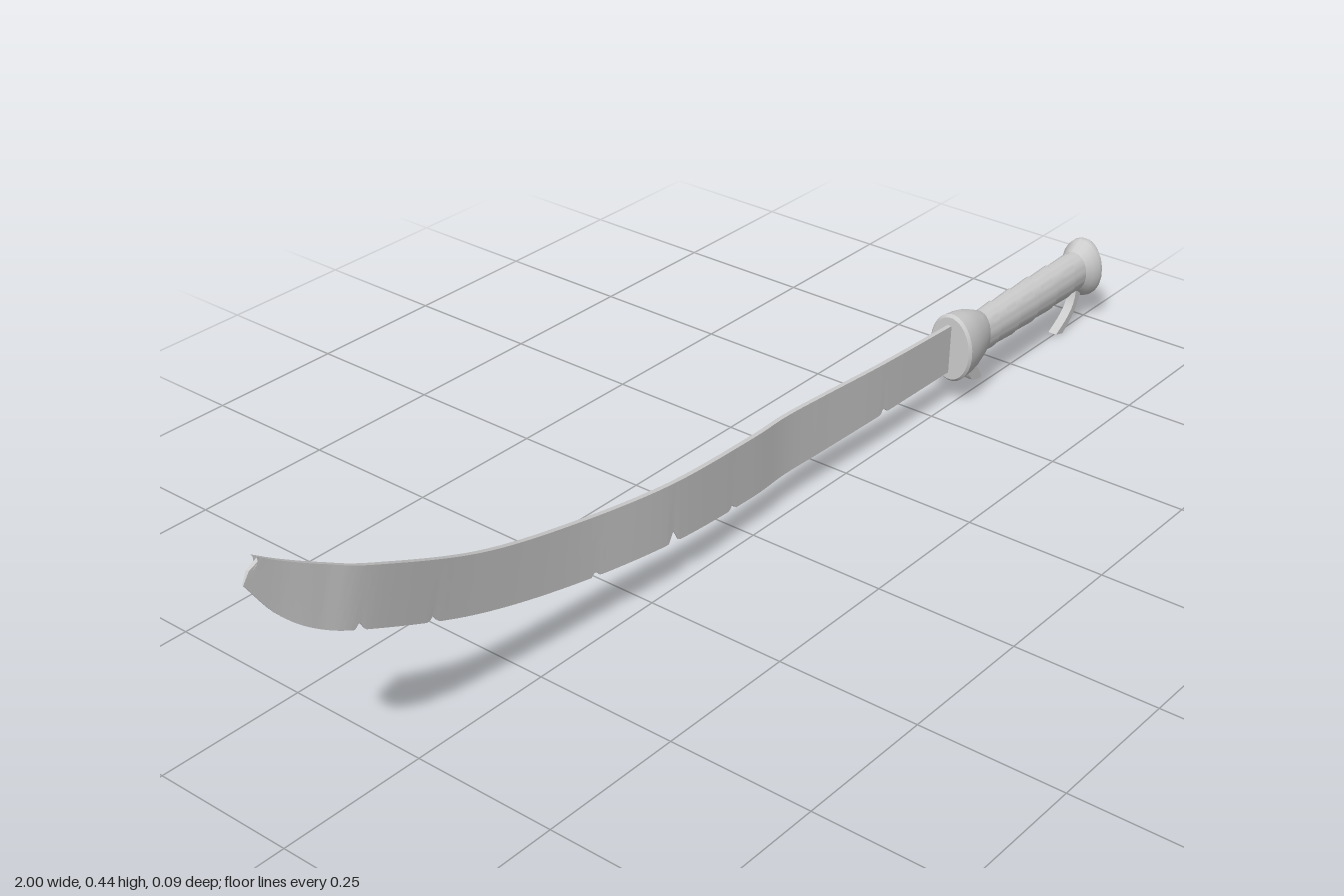
import * as THREE from 'three';
import { toCreasedNormals } from 'three/addons/utils/BufferGeometryUtils.js';

const material = new THREE.MeshStandardMaterial({ color: 0xcccccc, side: THREE.DoubleSide });

// Closed skin over a grid: rows of equal-length point loops, with both ends capped
function loft(rows, crease) {
  const n = rows[0].length, pos = rows.flat(2), index = [];
  for (let i = 0; i < rows.length - 1; i++) {
    for (let j = 0; j < n; j++) {
      const a = i * n + j, b = i * n + (j + 1) % n;
      index.push(a, b, a + n, b, b + n, a + n);
    }
  }
  // caps are zipped between the two halves of the loop
  const last = (rows.length - 1) * n;
  for (let j = 0; j < n / 2 - 1; j++) {
    const a = j, b = j + 1, c = n - 2 - j, d = n - 1 - j;
    index.push(a, c, b, a, d, c);
    index.push(last + a, last + b, last + c, last + a, last + c, last + d);
  }
  const g = new THREE.BufferGeometry();
  g.setAttribute('position', new THREE.Float32BufferAttribute(pos, 3));
  g.setIndex(index);
  return toCreasedNormals(g, crease);
}

function part(name, geometry) {
  const mesh = new THREE.Mesh(geometry, material);
  mesh.name = name;
  return mesh;
}

// Rounded cross-section around the x axis
function ring(x, cy, ry, rz, sides, swell = () => 1) {
  return Array.from({ length: sides }, (_, j) => {
    const a = ((j + 0.5) / sides) * Math.PI * 2, s = swell(a);
    return [x, cy + ry * s * Math.cos(a), rz * s * Math.sin(a)];
  });
}

// Wavy, worn blade: matching stations along spine and edge [spineX, spineY, edgeX, edgeY, z]
function bladeGeometry() {
  const stations = [
    [-0.98, 0.445, -1.0, 0.41, -0.019], [-0.94, 0.42, -0.955, 0.345, -0.015],
    [-0.88, 0.388, -0.9, 0.297, -0.007], [-0.8, 0.35, -0.82, 0.257, 0.001],
    [-0.6, 0.265, -0.62, 0.17, -0.008], [-0.4, 0.215, -0.41, 0.112, -0.011],
    [-0.2, 0.19, -0.2, 0.083, -0.002], [0, 0.175, 0, 0.064, -0.01],
    [0.1, 0.171, 0.1, 0.062, -0.016], [0.2, 0.168, 0.2, 0.062, -0.013],
    [0.36, 0.164, 0.36, 0.066, -0.005], [0.57, 0.158, 0.57, 0.067, -0.002],
  ];
  const curve = (x, y) => new THREE.CatmullRomCurve3(
    stations.map(s => new THREE.Vector3(s[x], s[y], s[4])), false, 'catmullrom', 0.5);
  const spine = curve(0, 1), edge = curve(2, 3);
  // nicks in the edge: [x, half width, depth]
  const nicks = [[-0.835, 0.009, 0.012], [-0.7, 0.009, 0.01], [-0.365, 0.009, 0.01],
    [-0.195, 0.012, 0.022], [-0.045, 0.008, 0.009], [0.36, 0.009, 0.012]];
  const rows = [], count = 400, steps = 4;
  for (let i = 0; i <= count; i++) {
    const top = spine.getPoint(i / count), low = edge.getPoint(i / count);
    for (const [x, w, d] of nicks) low.y += d * Math.max(0, 1 - Math.abs(low.x - x) / w);
    const front = [], back = [];
    for (let k = 0; k <= steps; k++) {
      const v = k / steps, p = top.clone().lerp(low, v);
      // chipped tip
      if (k === 1) p.x += 0.014 * Math.max(0, 1 - i / 6);
      const half = THREE.MathUtils.lerp(0.0042, 0.0012, v);
      front.push([p.x, p.y, p.z + half]);
      back.unshift([p.x, p.y, p.z - half]);
    }
    rows.push([...front, ...back]);
  }
  return loft(rows, 0.6);
}

// Grip bound with overlapping spiral wrapping
function gripGeometry() {
  const rows = [], count = 150, x0 = 0.62, x1 = 0.965;
  for (let i = 0; i <= count; i++) {
    const t = i / count, x = x0 + (x1 - x0) * t;
    const swell = a => {
      const u = (x - x0) / 0.062 + a / (Math.PI * 2) + 0.06 * Math.sin(2 * a);
      return 1 + 0.07 * (u - Math.floor(u) - 0.5);
    };
    const belly = 1 + 0.05 * Math.sin(Math.PI * t);
    rows.push(ring(x, 0.111, 0.0385 * belly, 0.0275 * belly, 36, swell));
  }
  return loft(rows, 0.7);
}

// Thin strap end: outline in x/y, extruded across z
function strapGeometry(outer, inner, width) {
  const toCurve = pts => new THREE.SplineCurve(pts.map(p => new THREE.Vector2(...p))).getPoints(8);
  const g = new THREE.ExtrudeGeometry(
    new THREE.Shape([...toCurve(outer), ...toCurve(inner).reverse()]),
    { depth: width, bevelEnabled: false });
  return toCreasedNormals(g.translate(0, 0, 0.001 - width / 2), 0.6);
}

export function createModel() {
  const model = new THREE.Group();
  model.name = 'curvedSword';
  model.add(part('blade', bladeGeometry()));
  model.add(part('grip', gripGeometry()));

  // Flared collar: [x, centreY, halfHeight, halfDepth]
  const collar = [[0.548, 0.114, 0.06, 0.04], [0.553, 0.114, 0.065, 0.044], [0.575, 0.113, 0.063, 0.043],
    [0.6, 0.112, 0.058, 0.038], [0.622, 0.111, 0.049, 0.032], [0.637, 0.111, 0.042, 0.027],
    [0.645, 0.111, 0.036, 0.023]];
  model.add(part('collar', loft(collar.map(r => ring(...r, 28)), 0.6)));

  // Pommel with a bevelled end face
  const pommel = [[0.945, 0.111, 0.034, 0.024], [0.953, 0.111, 0.041, 0.029], [0.965, 0.11, 0.049, 0.035],
    [0.977, 0.109, 0.057, 0.041], [0.986, 0.108, 0.058, 0.041], [0.994, 0.108, 0.053, 0.034],
    [1.0, 0.108, 0.046, 0.027]];
  model.add(part('pommel', loft(pommel.map(r => ring(...r, 20)), 0.6)));

  // Loose strap ends
  model.add(part('collarStrap', strapGeometry(
    [[0.594, 0.068], [0.601, 0.044], [0.612, 0.028], [0.638, 0.022]],
    [[0.618, 0.068], [0.62, 0.055], [0.63, 0.042], [0.64, 0.026]], 0.016)));
  model.add(part('pommelStrap', strapGeometry(
    [[0.952, 0.085], [0.945, 0.052], [0.925, 0.028], [0.889, 0.006]],
    [[0.972, 0.08], [0.958, 0.046], [0.938, 0.02], [0.911, 0.0]], 0.017)));
  return model;
}
